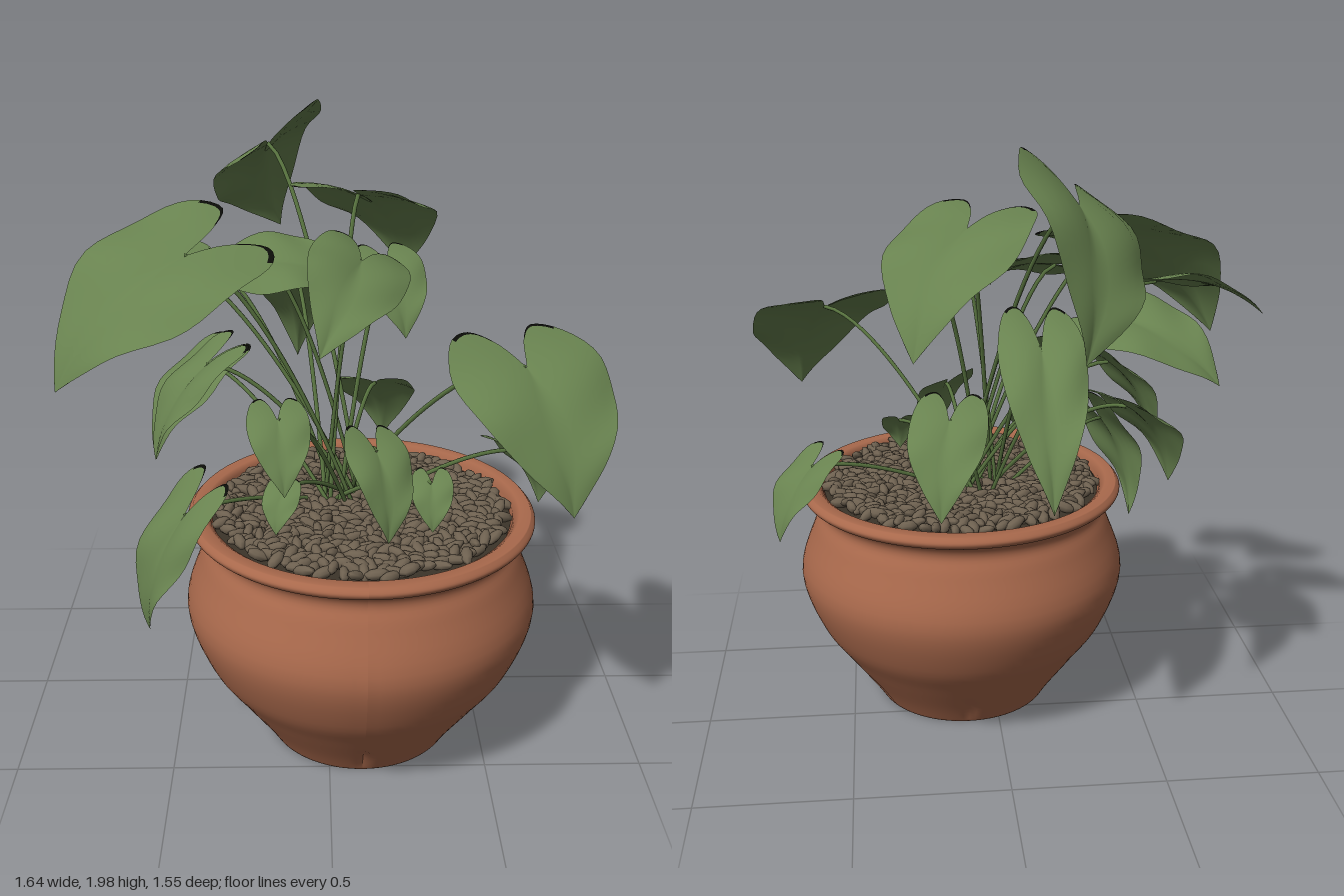
import * as THREE from 'three';
import { mergeGeometries } from 'three/addons/utils/BufferGeometryUtils.js';

const material = (name, color, side = THREE.FrontSide) => {
  const m = new THREE.MeshStandardMaterial({ color, side });
  m.name = name;
  return m;
};
const UP = new THREE.Vector3(0, 1, 0);

// half outline of a heart leaf: u runs along the midrib, v across it
const HEART = new THREE.CatmullRomCurve3(
  [[0, 0], [-0.2, 0.17], [-0.34, 0.45], [-0.25, 0.8], [0.02, 0.99], [0.35, 0.92], [0.68, 0.55], [0.9, 0.18], [1, 0]]
    .map(([u, v]) => new THREE.Vector3(u, v, 0)), false, 'centripetal');

// arched heart blade from notch to tip, level across unless rolled about its midrib;
// the outermost band is a withered edge at the tip and on the lobes
function leafGeometry(notch, tip, roll, width) {
  const axis = tip.clone().sub(notch), len = axis.length(), dir = axis.clone().normalize();
  const across = new THREE.Vector3().crossVectors(UP, dir).normalize().applyAxisAngle(dir, roll);
  const normal = new THREE.Vector3().crossVectors(dir, across);
  const rows = 32, cols = 14, pos = [], blade = [], rim = [];
  for (let i = 0; i <= rows; i++) {
    const t = i / rows, edge = HEART.getPoint(t);
    const withered = t > 0.87 || (t > 0.14 && t < 0.34);
    for (let j = 0; j <= cols; j++) {
      const outermost = j === 0 || j === cols;
      const s = outermost ? Math.sign(j - 1) : (((j - 1) / (cols - 2)) * 2 - 1) * 0.965, k = Math.abs(s);
      const u = t + (edge.x - t) * k, v = edge.y * k;
      const arch = 0.45 * u * (1 - u) + 0.12 * v * (1 - v) + 0.03 * v * Math.sin(u * 9 + s * 2);
      const p = notch.clone().addScaledVector(axis, u)
        .addScaledVector(across, Math.sign(s) * v * width * len)
        .addScaledVector(normal, len * arch);
      pos.push(p.x, p.y, p.z);
      if (i < rows && j < cols) {
        const a = i * (cols + 1) + j, b = a + cols + 1;
        const list = withered && (j === 0 || j === cols - 1) ? rim : blade;
        list.push(a, b, a + 1, b, b + 1, a + 1);
      }
    }
  }
  const g = new THREE.BufferGeometry();
  g.setAttribute('position', new THREE.Float32BufferAttribute(pos, 3));
  g.setIndex([...blade, ...rim]);
  g.addGroup(0, blade.length, 0);
  g.addGroup(blade.length, rim.length, 1);
  g.computeVertexNormals();
  return g;
}

// arching stalk from the crown of the plant to the leaf notch
function stalkGeometry(end, i) {
  const a = i * 2.4;
  const base = new THREE.Vector3(0.05 + 0.06 * Math.cos(a), 0.76, 0.13 + 0.06 * Math.sin(a));
  const rise = end.y - base.y;
  const c1 = base.clone().lerp(end, 0.3).setY(base.y + rise * 0.5);
  const c2 = base.clone().lerp(end, 0.72).setY(base.y + rise * 0.95 + 0.03);
  return new THREE.TubeGeometry(new THREE.CubicBezierCurve3(base, c1, c2, end), 20, 0.007, 6);
}

// turned pot with six shallow dents pressed in above the foot
function potGeometry() {
  const points = (list) => list.map(([r, y]) => new THREE.Vector2(r, y));
  const under = points([[0.001, 0.03], [0.245, 0.03], [0.27, 0]]);
  const outer = new THREE.SplineCurve(points([
    [0.3, 0], [0.345, 0.07], [0.43, 0.19], [0.51, 0.31], [0.563, 0.48], [0.515, 0.64],
    [0.488, 0.705], [0.505, 0.745], [0.538, 0.76], [0.55, 0.78], [0.535, 0.8]])).getPoints(50);
  const inner = points([[0.5, 0.8], [0.48, 0.785], [0.47, 0.7]]);
  const profile = [...under, ...outer, ...inner];
  const g = new THREE.LatheGeometry(profile, 96);
  const p = g.attributes.position;
  for (let i = 0; i < p.count; i++) {
    const seg = Math.floor(i / profile.length), row = i % profile.length, y = p.getY(i);
    if (seg % 16 === 0 && row >= under.length && y < 0.14) {
      const f = 1 - (0.014 * Math.sin((Math.PI * y) / 0.14)) / Math.hypot(p.getX(i), p.getZ(i));
      p.setXYZ(i, p.getX(i) * f, y, p.getZ(i) * f);
    }
  }
  g.computeVertexNormals();
  return g;
}

// bed of elongated pebbles in a sunflower spread
function pebbleGeometry() {
  let seed = 7;
  const rnd = () => (seed = (seed * 16807) % 2147483647) / 2147483647;
  const parts = [], count = 560;
  for (let i = 0; i < count; i++) {
    const r = 0.455 * Math.sqrt((i + 0.5) / count), a = i * 2.39996;
    const g = new THREE.SphereGeometry(1, 7, 5);
    g.scale(0.032 + 0.012 * rnd(), 0.014 + 0.005 * rnd(), 0.015 + 0.006 * rnd());
    g.rotateZ((rnd() - 0.5) * 0.9);
    g.rotateY(rnd() * Math.PI * 2);
    g.translate(r * Math.cos(a), 0.782 + 0.014 * rnd(), r * Math.sin(a));
    parts.push(g);
  }
  return mergeGeometries(parts);
}

// notch xyz, tip xyz, then roll and half width per length where they differ
const LEAVES = [
  [-0.19, 1.83, -0.41, -0.16, 1.47, -0.77, -0.75],
  [0.1, 1.72, -0.12, 0.28, 1.39, -0.43],
  [0.56, 1.35, 0.47, 0.67, 1, 0.73, 0, 0.54],
  [-0.42, 1.62, 0.25, -0.8, 1.25, 0.39, -0.36, 0.5],
  [0.1, 1.59, 0.2, -0.03, 1.4, 0.54, -0.45, 0.38],
  [-0.2, 1.56, 0.1, 0.09, 1.48, 0.08, 0.4, 0.5],
  [0.19, 1.53, 0, 0.24, 1.33, 0.15],
  [-0.35, 1.45, -0.18, -0.63, 1.28, -0.37, 0.3],
  [-0.5, 1.53, -0.04, -0.82, 1.44, -0.14, -0.3],
  [-0.1, 1.4, -0.32, -0.1, 1, -0.65, 0, 0.25],
  [0.14, 1.07, 0.43, 0.17, 0.84, 0.57, -0.3, 0.39],
  [-0.15, 1.2, 0.49, -0.13, 1.02, 0.63, 0, 0.4],
  [-0.43, 0.9, 0.5, -0.55, 0.51, 0.49, -0.7, 0.28],
  [-0.38, 1.23, 0.1, -0.55, 0.92, 0.14, -0.2, 0.32],
  [-0.4, 1.15, -0.14, -0.57, 0.85, -0.03, 0, 0.4],
  [0.16, 1.1, -0.08, 0.2, 0.83, -0.28, 0, 0.38],
  [0.61, 0.91, 0.05, 0.72, 0.68, -0.03, 0, 0.4],
  [0.31, 0.95, 0.39, 0.31, 0.82, 0.46],
  [-0.14, 0.94, 0.42, -0.16, 0.83, 0.49],
];

export function createModel() {
  const terracotta = material('terracotta', 0xa9694c, THREE.DoubleSide);
  const stone = material('pebble brown', 0x6e6150);
  const soilBrown = material('soil brown', 0x3c3429);
  const leafGreen = material('leaf green', 0x68824f, THREE.DoubleSide);
  const witheredBlack = material('withered black', 0x0b0c08, THREE.DoubleSide);
  const stalkGreen = material('stalk green', 0x58733f);

  const model = new THREE.Group();
  model.name = 'pottedPlant';
  const add = (parent, name, geometry, mat) => {
    const mesh = new THREE.Mesh(geometry, mat);
    mesh.name = name;
    parent.add(mesh);
  };

  // pot and its filling
  const planter = new THREE.Group();
  planter.name = 'planter';
  planter.position.set(0.105, 0, 0.215);
  add(planter, 'pot', potGeometry(), terracotta);
  add(planter, 'soil', new THREE.CircleGeometry(0.474, 64).rotateX(-Math.PI / 2).translate(0, 0.772, 0), soilBrown);
  add(planter, 'pebbles', pebbleGeometry(), stone);
  model.add(planter);

  // leaves, each on its own stalk
  const foliage = new THREE.Group();
  foliage.name = 'foliage';
  LEAVES.forEach(([x, y, z, tx, ty, tz, roll = 0, width = 0.44], i) => {
    const notch = new THREE.Vector3(x, y, z), tip = new THREE.Vector3(tx, ty, tz);
    add(foliage, 'leaf' + (i + 1), leafGeometry(notch, tip, roll, width), [leafGreen, witheredBlack]);
    add(foliage, 'stalk' + (i + 1), stalkGeometry(notch, i), stalkGreen);
  });
  model.add(foliage);
  return model;
}
